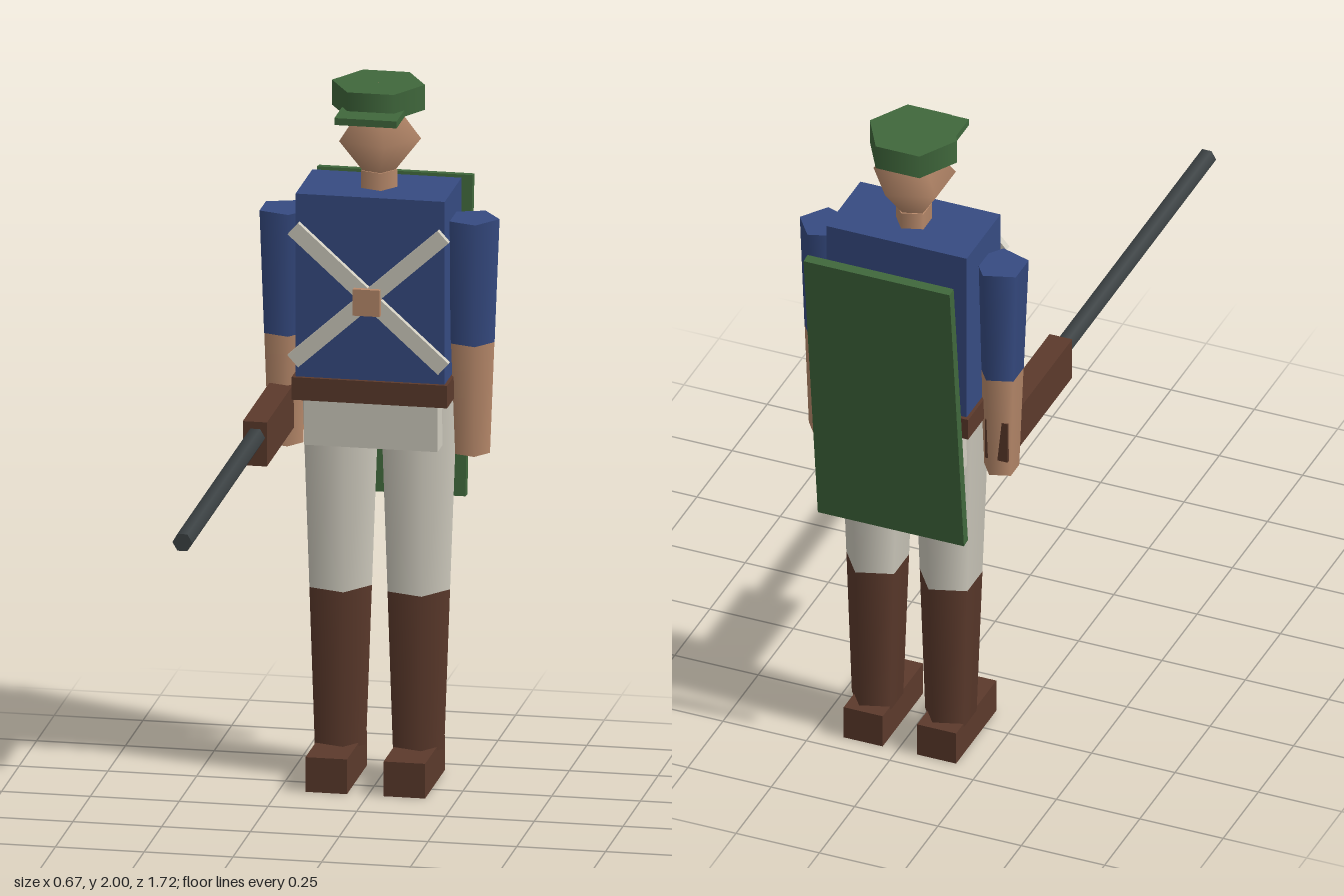
import * as THREE from 'three';

const paint = (name, color) => {
  const m = new THREE.MeshStandardMaterial({ color });
  m.name = name;
  return m;
};

export function createModel() {
  const blue = paint('coat blue', 0x364b82);
  const green = paint('cloth green', 0x40683c);
  const brown = paint('leather brown', 0x5c3a2c);
  const white = paint('off white', 0xd0ccbf);
  const skin = paint('skin', 0xba8b6c);
  const steel = paint('gun steel', 0x3c4244);

  const model = new THREE.Group();
  model.name = 'soldier';
  const CX = -0.007, CZ = -0.597; // body axis; the long gun reaches forward

  const add = (name, geometry, material, x, y, z, parent = model) => {
    const mesh = new THREE.Mesh(geometry, material);
    mesh.name = name;
    mesh.position.set(x, y, z);
    parent.add(mesh);
    return mesh;
  };
  const box = (name, mat, w, h, d, x, y, z, parent) =>
    add(name, new THREE.BoxGeometry(w, h, d), mat, x, y, z, parent);
  // upright tapered prism from y0 to y1, one corner facing +x
  const prism = (name, mat, r0, r1, y0, y1, x, z, sides = 5, parent) =>
    add(name, new THREE.CylinderGeometry(r1, r0, y1 - y0, sides, 1, false, Math.PI / 2),
      mat, x, (y0 + y1) / 2, z, parent);

  // Torso, belt and hips
  box('torso', blue, 0.42, 0.53, 0.24, CX, 1.437, CZ);
  box('belt', brown, 0.438, 0.065, 0.262, CX, 1.143, CZ);
  box('hips', white, 0.376, 0.135, 0.22, CX, 1.044, CZ);

  // Crossed chest straps and their buckle
  for (const s of [-1, 1]) {
    const strap = box('chestStrap', white, 0.57, 0.045, 0.02, CX - 0.002, 1.415, CZ + 0.13 + s * 0.001);
    strap.rotation.z = s * 0.733;
  }
  box('strapBuckle', skin, 0.076, 0.076, 0.03, CX - 0.004, 1.408, CZ + 0.14);

  // Arms and legs: same section on both sides
  for (const s of [-1, 1]) {
    const side = s > 0 ? 'left' : 'right';
    const arm = new THREE.Group();
    arm.name = side + 'Arm';
    const ax = CX + s * 0.263;
    prism('sleeve', blue, 0.064, 0.078, 1.27, 1.625, ax, CZ, 5, arm);
    prism('forearm', skin, 0.051, 0.0635, 0.95, 1.27, ax, CZ, 5, arm);

    const leg = new THREE.Group();
    leg.name = side + 'Leg';
    const lx = CX + s * 0.11;
    prism('trouser', white, 0.0915, 0.112, 0.55, 1.11, lx, CZ, 5, leg);
    prism('boot', brown, 0.075, 0.0915, 0.09, 0.55, lx, CZ, 5, leg);
    box('shoe', brown, 0.117, 0.1, 0.286, lx, 0.05, CZ + 0.046, leg);
    model.add(arm, leg);
  }

  // Neck and faceted head
  prism('neck', skin, 0.053, 0.053, 1.69, 1.752, CX, CZ);
  add('head', new THREE.SphereGeometry(0.12, 5, 2, Math.PI).scale(1, 1.3, 1), skin, CX, 1.845, CZ);

  // Cap with brim
  prism('cap', green, 0.131, 0.131, 1.928, 2, CX, CZ, 6);
  box('capBrim', green, 0.175, 0.02, 0.19, CX, 1.936, CZ + 0.091);

  // Slanted panel on the back
  const panel = box('backPanel', green, 0.438, 0.902, 0.029, CX - 0.001, 1.226, -0.797);
  panel.rotation.x = -0.113;

  // Gun in the right hand
  const gun = new THREE.Group();
  gun.name = 'gun';
  box('gunStock', brown, 0.068, 0.127, 0.46, -0.273, 1.064, -0.41, gun);
  const barrel = new THREE.CylinderGeometry(0.028, 0.028, 1.06, 6, 1, false, Math.PI / 2).rotateX(Math.PI / 2);
  add('gunBarrel', barrel, steel, -0.272, 1.083, 0.33, gun);
  model.add(gun);

  return model;
}
